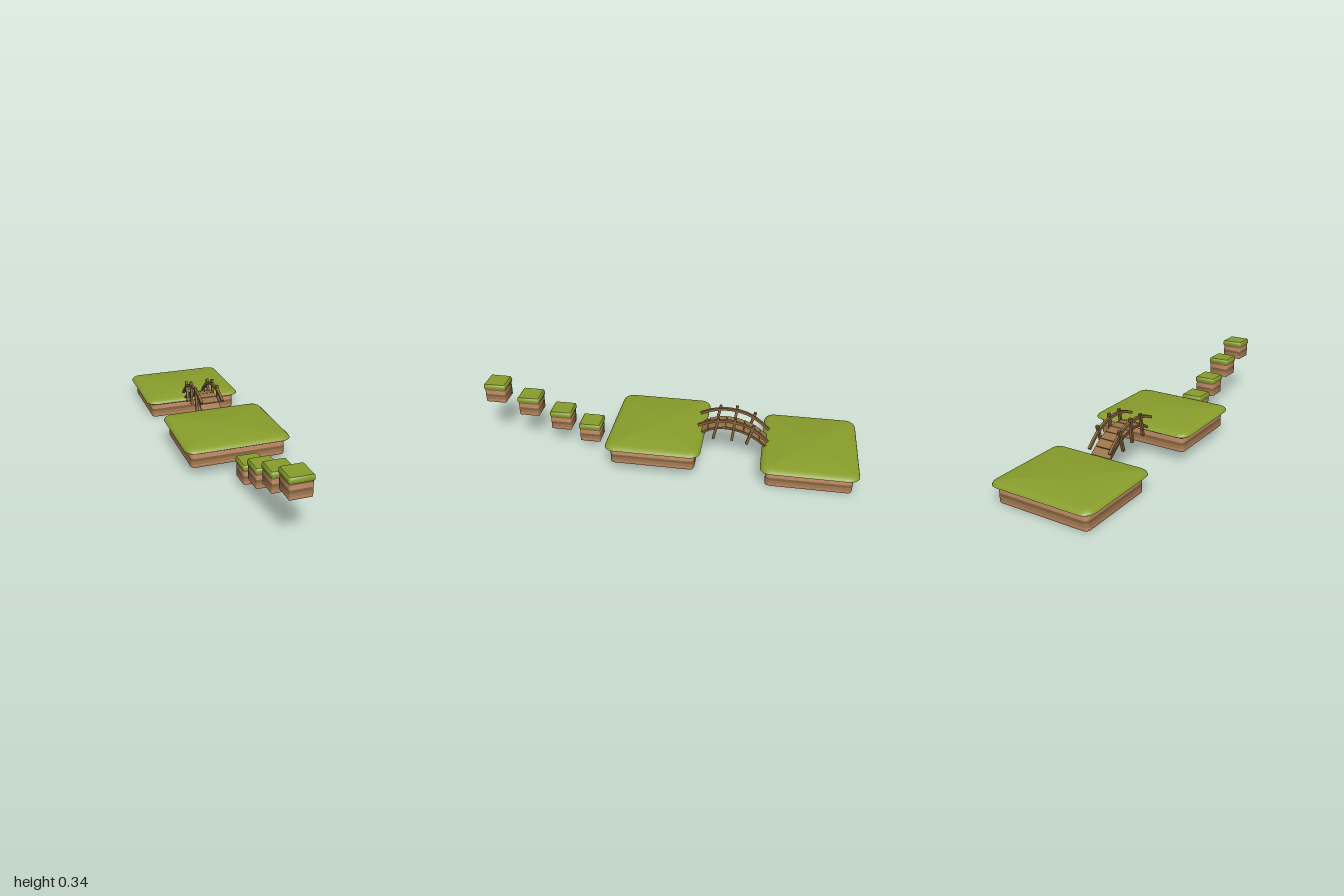
import * as THREE from 'three';
import { toCreasedNormals } from 'three/addons/utils/BufferGeometryUtils.js';

const mat = (color) => new THREE.MeshStandardMaterial({ color });
const grassMat = mat(0x8a9f2c);
const soilMats = { light: mat(0xc8906c), mid: mat(0xa67c52), dark: mat(0x876840) };
const woodMat = mat(0x86643c);
const plankMat = mat(0x9a7448);

// Closed rounded-rectangle outline at height y, counter-clockwise from above
function outline(hx, hz, r, y) {
  const pts = [];
  const steps = 5;
  [[1, -1], [-1, -1], [-1, 1], [1, 1]].forEach(([sx, sz], q) => {
    for (let i = 0; i <= steps; i++) {
      const a = (q + i / steps) * Math.PI / 2;
      pts.push(new THREE.Vector3(sx * (hx - r) + r * Math.cos(a), y, sz * (hz - r) - r * Math.sin(a)));
    }
  });
  return pts;
}

// Lofts rounded rectangles through a profile of [inset, y], bottom to top, with optional caps
function loft(hx, hz, r, profile, bottom, top) {
  const pos = [];
  const tri = (...vs) => vs.forEach((v) => pos.push(v.x, v.y, v.z));
  const rings = profile.map(([inset, y]) => outline(hx - inset, hz - inset, Math.max(r - inset, 0.002), y));
  const n = rings[0].length;
  for (let k = 0; k < rings.length - 1; k++) {
    const lo = rings[k], hi = rings[k + 1];
    for (let i = 0; i < n; i++) {
      const j = (i + 1) % n;
      tri(lo[i], lo[j], hi[j]);
      tri(lo[i], hi[j], hi[i]);
    }
  }
  const cap = (ring, up) => {
    const c = new THREE.Vector3(0, ring[0].y, 0);
    for (let i = 0; i < n; i++) {
      const j = (i + 1) % n;
      if (up) tri(c, ring[i], ring[j]);
      else tri(c, ring[j], ring[i]);
    }
  };
  if (bottom) cap(rings[0], false);
  if (top) cap(rings[rings.length - 1], true);
  const g = new THREE.BufferGeometry();
  g.setAttribute('position', new THREE.Float32BufferAttribute(pos, 3));
  return toCreasedNormals(g, 0.7);
}

function add(parent, name, geometry, material) {
  const m = new THREE.Mesh(geometry, material);
  m.name = name;
  parent.add(m);
  return m;
}

// Soil layers: share of the block height and shade, from the bottom up
const layers = [
  [0, 0.2, 'light'], [0.2, 0.4, 'mid'], [0.4, 0.58, 'dark'], [0.58, 0.85, 'light'], [0.85, 1, 'dark'],
];

// Layered soil block with a grass cover that overhangs it
function island(name, { hx, hz, r, height, bevel, lip, cover }) {
  const g = new THREE.Group();
  g.name = name;
  layers.forEach(([a, b, shade], i) => {
    const profile = [[0, a * height], [0, b * height]];
    if (i === 0) profile.unshift([bevel, 0], [bevel * 0.3, bevel * 0.3]), profile[2][1] = bevel;
    add(g, 'soilLayer', loft(hx, hz, r, profile, i === 0, i === layers.length - 1), soilMats[shade]);
  });
  const t = cover;
  const profile = [
    [lip, height - t * 0.05], [lip * 0.3, height - t * 0.15], [0, height + t * 0.1],
    [lip * 0.12, height + t * 0.45], [lip * 0.45, height + t * 0.8], [lip * 1.1, height + t],
  ];
  add(g, 'grassCover', loft(hx + lip, hz + lip, r + lip, profile, true, true), grassMat);
  return g;
}

// Square wooden bar swept through points [x, y, z], closed at both ends
function bar(points, half, segments) {
  const path = new THREE.CatmullRomCurve3(points.map((p) => new THREE.Vector3(...p)));
  const s = new THREE.Shape();
  s.moveTo(-half, -half);
  s.lineTo(half, -half);
  s.lineTo(half, half);
  s.lineTo(-half, half);
  return toCreasedNormals(new THREE.ExtrudeGeometry(s, { steps: segments, extrudePath: path }), 0.6);
}

// Arched bridge with planks, side beams, hand rails and posts
function bridge() {
  const g = new THREE.Group();
  g.name = 'bridge';
  const deck = [[0.15, -0.18], [0.183, -0.235], [0.197, -0.305], [0.183, -0.395], [0.15, -0.465], [0.105, -0.525]];
  const rail = [[0.207, -0.168], [0.233, -0.23], [0.246, -0.315], [0.226, -0.42], [0.185, -0.485], [0.14, -0.535]];
  const posts = [
    [[0.134, -0.25], [0.262, -0.275]],
    [[0.134, -0.348], [0.267, -0.362]],
    [[0.118, -0.425], [0.235, -0.46]],
  ];
  for (const side of [-1, 1]) {
    const at = (x) => ([y, z]) => [side * x, y, z];
    add(g, 'sideBeam', bar(deck.map(at(0.052)), 0.005, 14), woodMat);
    add(g, 'handRail', bar(rail.map(at(0.06)), 0.007, 14), woodMat);
    posts.forEach((p) => add(g, 'post', bar(p.map(at(0.064)), 0.007, 1), woodMat));
  }
  const curve = new THREE.CatmullRomCurve3(deck.map(([y, z]) => new THREE.Vector3(0, y, z)));
  const count = 8;
  for (let i = 0; i < count; i++) {
    const u = (i + 0.5) / count;
    const plank = add(g, 'plank', new THREE.BoxGeometry(0.108, 0.009, curve.getLength() / count - 0.003), plankMat);
    const dir = curve.getTangentAt(u);
    plank.position.copy(curve.getPointAt(u));
    plank.position.y += 0.003;
    plank.rotation.x = Math.atan2(dir.y, -dir.z);
  }
  return g;
}

export function createModel() {
  const model = new THREE.Group();
  model.name = 'floatingIslands';

  // Two large platforms
  const large = { hx: 0.254, hz: 0.219, r: 0.025, height: 0.09, bevel: 0.006, lip: 0.029, cover: 0.022 };
  [[0, -0.755], [0.052, 0.046]].forEach(([y, z]) => {
    const p = island('platform', large);
    p.position.set(0, y, z);
    model.add(p);
  });

  // Rising row of stepping blocks
  const small = { hx: 0.055, hz: 0.055, r: 0.005, height: 0.083, bevel: 0.003, lip: 0.006, cover: 0.024 };
  [[0.035, 0.424], [0.097, 0.582], [0.168, 0.757], [0.234, 0.938]].forEach(([y, z]) => {
    const p = island('steppingBlock', small);
    p.position.set(0, y, z);
    model.add(p);
  });

  model.add(bridge());
  return model;
}
